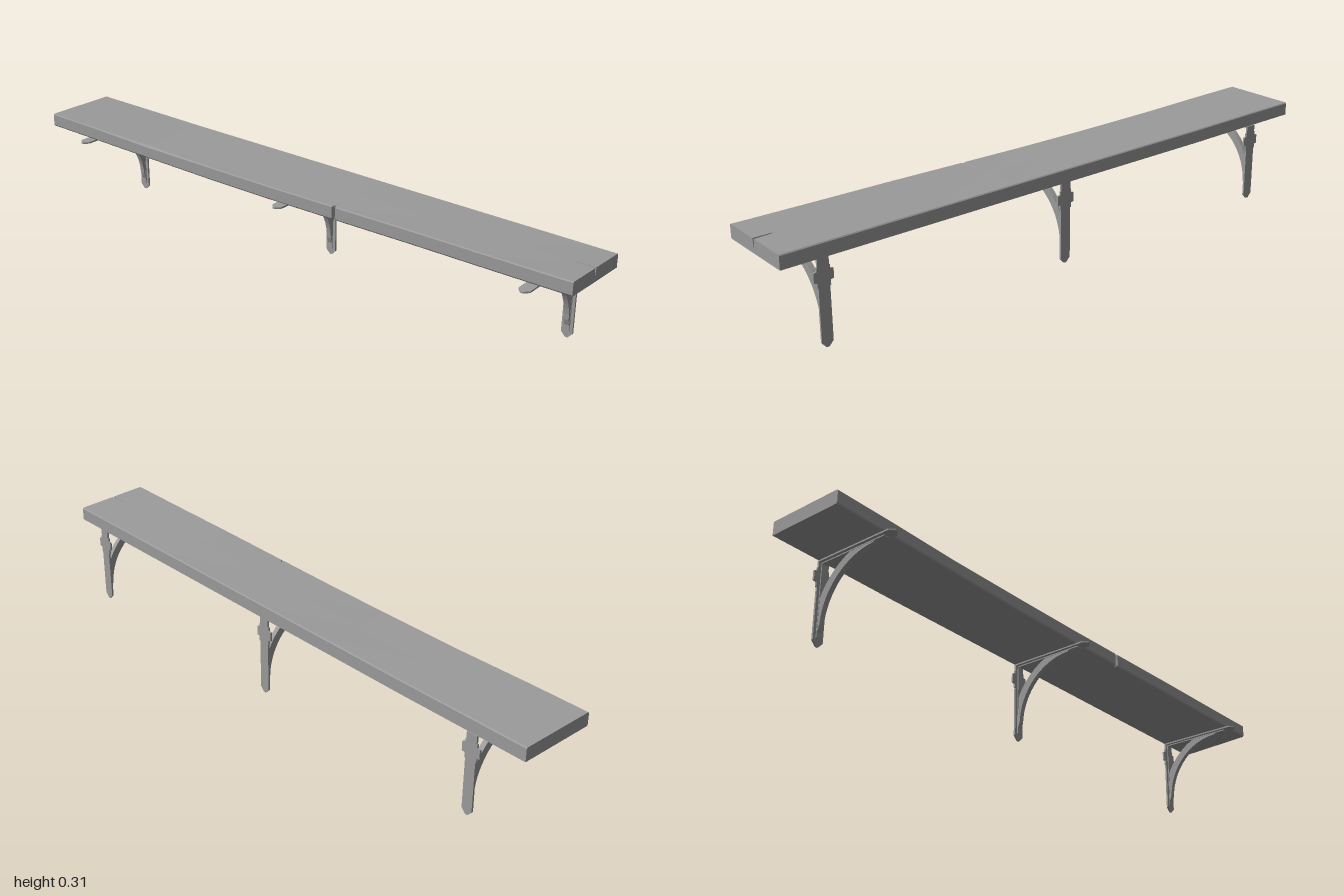
import * as THREE from 'three';

const mat = new THREE.MeshStandardMaterial({ color: 0x9b9b9b, flatShading: true });
const lerp = THREE.MathUtils.lerp;
const shapeOf = (pts) => new THREE.Shape(pts.map(([x, y]) => new THREE.Vector2(x, y)));

function extrude(name, shape, depth) {
  const geo = new THREE.ExtrudeGeometry(shape, { depth, bevelEnabled: false });
  const mesh = new THREE.Mesh(geo, mat);
  mesh.name = name;
  return mesh;
}

// Board cross-section at one station: a tilted plank with worn edges and an end crack
function section({ lift, back = 0, wear = 0.003, nick = 0, crack = 0 }) {
  const zb = -0.142, zf = 0.106, front = zf - nick;
  const tilt = (z, y) => [z, y + lerp(back, lift, (z - zb) / (zf - zb))];
  return [
    tilt(zb, 0.259), tilt(front - 0.003, 0.259), tilt(front, 0.263),
    tilt(front, 0.302 - wear), tilt(front - wear, 0.302),
    tilt(-0.011, 0.302), tilt(-0.015, 0.302 - crack), tilt(-0.018, 0.302),
    tilt(zb + 0.003, 0.302), tilt(zb, 0.299),
  ];
}

// Warped plank lofted along x
function board() {
  const stations = [
    { x: -1, lift: 0.006, back: 0.003 }, { x: -0.8, lift: 0.004, back: 0.002 },
    { x: -0.55, lift: 0.001, wear: 0.006 }, { x: -0.25, lift: -0.002 }, { x: 0, lift: -0.001 },
    { x: 0.212, lift: 0.002 }, { x: 0.218, lift: 0.002, nick: 0.012 }, { x: 0.224, lift: 0.002 },
    { x: 0.5, lift: 0.006 }, { x: 0.75, lift: 0.008 },
    { x: 0.94, lift: 0.01 }, { x: 1, lift: 0.011, crack: 0.028 },
  ];
  const rings = stations.map((s) => section(s).map(([z, y]) => new THREE.Vector3(s.x, y, z)));
  const tris = [];
  for (let i = 0; i < rings.length - 1; i++) {
    const n = rings[i].length;
    for (let j = 0; j < n; j++) {
      const k = (j + 1) % n;
      const a = rings[i][j], b = rings[i + 1][j], c = rings[i + 1][k], d = rings[i][k];
      tris.push(a, b, c, a, c, d);
    }
  }
  // End caps, each triangle turned outward
  for (const [ring, dir] of [[rings[0], -1], [rings[rings.length - 1], 1]]) {
    const flat = ring.map((p) => new THREE.Vector2(p.z, p.y));
    for (const [i, j, k] of THREE.ShapeUtils.triangulateShape(flat, [])) {
      const [a, b, c] = [ring[i], ring[j], ring[k]];
      const nx = b.clone().sub(a).cross(c.clone().sub(a)).x;
      if (nx * dir > 0) tris.push(a, b, c);
      else tris.push(a, c, b);
    }
  }
  const geo = new THREE.BufferGeometry().setFromPoints(tris);
  geo.computeVertexNormals();
  const mesh = new THREE.Mesh(geo, mat);
  mesh.name = 'board';
  return mesh;
}

// Mirror a half outline across x = 0
const mirrored = (half) => shapeOf([...half, ...half.slice().reverse().map(([x, y]) => [-x, y])]);

function bracket() {
  const g = new THREE.Group();
  g.name = 'bracket';

  // Upright strap with pointed foot and stepped cross-shaped lug
  const upright = extrude('wallStrap', mirrored([
    [0.004, 0], [0.018, 0.015], [0.018, 0.176], [0.021, 0.177], [0.021, 0.191], [0.031, 0.193],
    [0.031, 0.222], [0.021, 0.224], [0.021, 0.235], [0.018, 0.236], [0.018, 0.257],
  ]), 0.006);
  upright.position.z = -0.142;

  // Horizontal strap with pointed front tip
  const arm = extrude('shelfStrap', mirrored([
    [0.018, -0.142], [0.018, 0.128], [0.004, 0.143],
  ]), 0.005);
  arm.rotation.x = Math.PI / 2;
  arm.position.y = 0.259;

  // Slim ribs along the inside of both straps
  const wallRib = new THREE.Mesh(new THREE.BoxGeometry(0.018, 0.232, 0.004), mat);
  wallRib.name = 'wallRib';
  wallRib.position.set(0, 0.138, -0.135);
  const shelfRib = new THREE.Mesh(new THREE.BoxGeometry(0.018, 0.004, 0.238), mat);
  shelfRib.name = 'shelfRib';
  shelfRib.position.set(0, 0.2525, -0.015);

  // Curved brace, outline in z and y: concave arc below, wider arc above
  const arc = (n, cz, cy, r, from, to) => Array.from({ length: n + 1 }, (_, i) => {
    const a = lerp(from, to, i / n);
    return [cz + r * Math.cos(a), cy + r * Math.sin(a)];
  });
  const pi = Math.PI;
  const outline = [
    [0.075, 0.252], [0.062, 0.246],
    ...arc(16, 0.065, 0.055, 0.191, pi * 0.51, pi * 0.99),
    [-0.131, 0.045], [-0.135, 0.04],
    [-0.135, 0.14],
    ...arc(10, 0.062, 0.055, 0.214, pi * 0.865, pi * 0.635),
  ];
  const brace = extrude('brace', shapeOf(outline), 0.016);
  brace.geometry.rotateY(-pi / 2).translate(0.008, 0, 0);

  g.add(upright, arm, wallRib, shelfRib, brace);
  return g;
}

export function createModel() {
  const model = new THREE.Group();
  model.name = 'wallShelf';
  model.add(board());
  for (const x of [-0.82, 0.022, 0.873]) {
    const b = bracket();
    b.position.x = x;
    model.add(b);
  }
  return model;
}
